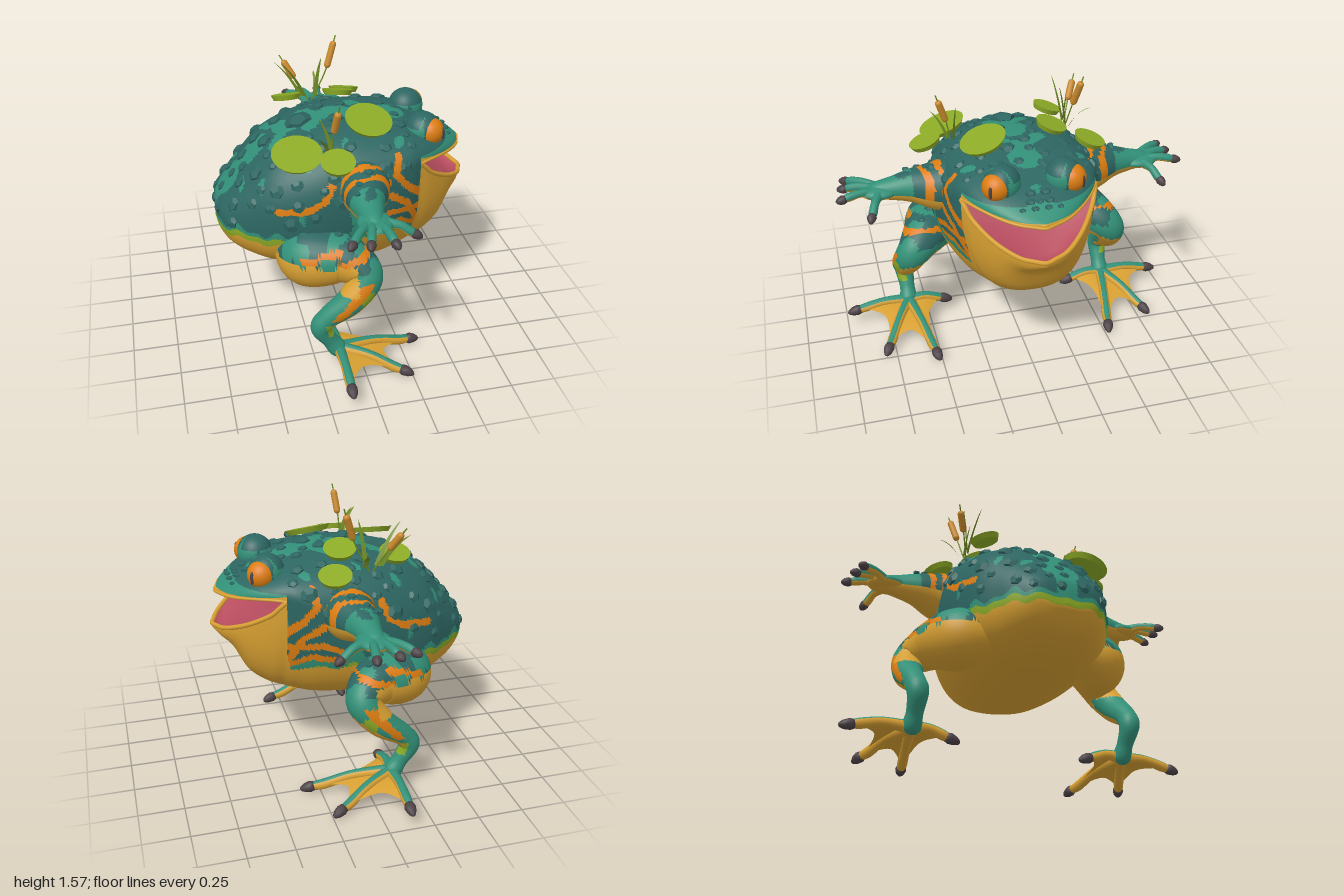
import * as THREE from 'three';
import { mergeGeometries, mergeVertices } from 'three/addons/utils/BufferGeometryUtils.js';

const V = (x, y, z) => new THREE.Vector3(x, y, z);

export function createModel() {
  const model = new THREE.Group();
  model.name = 'toad';
  const colours = { darkTeal: 0x2d6662, teal: 0x329078, orange: 0xdd7d12, gold: 0xd8a032, lime: 0x8caa26,
    olive: 0x6f8c24, pink: 0xb64c5e, claw: 0x4c4246, cattail: 0xc98a2c };
  const mats = {};
  for (const [name, color] of Object.entries(colours)) {
    mats[name] = new THREE.MeshStandardMaterial({ color, side: THREE.DoubleSide });
    mats[name].name = name;
  }
  const keys = Object.keys(mats);
  let seed = 7;
  const rnd = () => (seed = (seed * 16807) % 2147483647) / 2147483647;

  const add = (name, geo, mat, parent = model) => {
    const mesh = new THREE.Mesh(geo, Array.isArray(mat) ? mat : mats[mat]);
    mesh.name = name;
    parent.add(mesh);
    return mesh;
  };

  // Surface grid from a point function of two parameters in 0..1
  const grid = (nu, nv, fn) => {
    const pos = [], idx = [];
    for (let i = 0; i <= nu; i++) for (let j = 0; j <= nv; j++) pos.push(...fn(i / nu, j / nv).toArray());
    for (let i = 0; i < nu; i++) for (let j = 0; j < nv; j++) {
      const a = i * (nv + 1) + j, b = a + nv + 1;
      idx.push(a, b, a + 1, b, b + 1, a + 1);
    }
    const g = new THREE.BufferGeometry();
    g.setAttribute('position', new THREE.Float32BufferAttribute(pos, 3));
    g.setIndex(idx);
    g.computeVertexNormals();
    return g;
  };

  // Sort faces into colour groups by a rule on face centre and normal
  const painted = (name, geometry, rule, parent) => {
    const g = mergeVertices(geometry.deleteAttribute('normal').deleteAttribute('uv'), 1e-5);
    g.computeVertexNormals();
    const p = g.attributes.position, buckets = keys.map(() => []), tri = new THREE.Triangle();
    const c = V(), n = V();
    for (let i = 0; i < g.index.count; i += 3) {
      const f = [0, 1, 2].map(k => g.index.getX(i + k));
      tri.setFromAttributeAndIndices(p, ...f);
      tri.getMidpoint(c);
      tri.getNormal(n);
      c.z = Math.abs(c.z);
      buckets[keys.indexOf(rule(c, n))].push(...f);
    }
    g.setIndex(buckets.flat());
    let start = 0;
    buckets.forEach((b, k) => { if (b.length) g.addGroup(start, b.length, k); start += b.length; });
    return add(name, g, keys.map(k => mats[k]), parent);
  };
  const wobble = p => Math.sin(23 * p.x + 9 * p.y) * Math.sin(19 * p.z + 5) + 0.5 * Math.sin(41 * p.x + 31 * p.z);

  // Body sections: x, top, bottom, half width, upper lip height, lower lip height
  const rows = [
    [-.71, .77, .7, 0, .74, .74], [-.695, .84, .66, .16, .75, .75], [-.64, .915, .58, .24, .75, .75],
    [-.54, 1.03, .515, .32, .76, .76], [-.4, 1.16, .465, .405, .79, .79], [-.2, 1.24, .43, .455, .85, .85],
    [0, 1.27, .41, .46, .92, .92], [.2, 1.26, .42, .435, 1, 1], [.32, 1.24, .45, .4, 1.07, 1.07],
    [.38, 1.225, .47, .37, 1.09, 1.09], [.45, 1.2, .5, .335, 1.095, 1.015], [.55, 1.165, .58, .265, 1.085, .945],
    [.63, 1.125, .73, .19, 1.07, .9], [.69, 1.09, .79, .11, 1.06, .87], [.73, 1.065, .83, 0, 1.05, .855]];
  const last = rows.length - 1, mouthRow = 9;
  const spline = new THREE.CubicInterpolant(rows.map((_, i) => i), new Float32Array(rows.flat()), 6);
  const section = u => {
    const [x, top, bot, w, up, low] = spline.evaluate(u);
    return { x, xu: x - Math.max(0, x - .5) * .1, top, bot, w: Math.max(0, w), up, low: u <= mouthRow ? up : low };
  };
  const power = (a, e) => Math.sign(a) * Math.abs(a) ** e;
  const upper = (u, a) => {
    const s = section(u);
    return V(s.xu, s.up + (s.top - s.up) * Math.abs(Math.sin(a)) ** .8, s.w * power(Math.cos(a), .78));
  };
  const lower = (u, a) => {
    const s = section(u);
    return V(s.x, s.low - (s.low - s.bot) * Math.abs(Math.sin(a)) ** .85, s.w * power(Math.cos(a), .78));
  };
  const stripes = [
    [[.25, 1.15], [.23, 1.07], [.3, .98], [.4, .9]], [[.02, 1.13], [.1, 1.11], [.18, 1.03]],
    [[-.4, .9], [-.24, .92], [-.16, .97], [-.12, 1.06]], [[.08, .79], [.2, .84], [.38, .82]],
    [[.12, .745], [.26, .77], [.37, .7]], [[.2, .95], [.3, .88], [.37, .74]]];
  const near = V(), line = new THREE.Line3();
  const onStripe = p => stripes.some(s => s.slice(1).some((b, i) => {
    line.set(V(...s[i], 0), V(...b, 0));
    const q = V(p.x, p.y, 0);
    line.closestPointToPoint(q, true, near);
    return near.distanceTo(q) < .02 + .004 * wobble(p);
  }));
  const bodyRule = p => {
    const n = wobble(p);
    if (p.x > .38 && p.y < 1.113 - .15 * (p.x - .42)) return 'gold';
    if (p.y < 1.07 && p.x > .375 + .012 * n) return 'gold';
    const edge = .69 + .015 * n;
    if (p.z > .22 && p.y > .68 && onStripe(p)) return 'orange';
    if (p.y < edge) return 'gold';
    if (p.y < edge + (p.x < -.35 ? .04 : .025 * n)) return 'lime';
    if (p.y < .76 + .03 * n) return 'teal';
    if (p.x > .38) return n > .5 || p.y < 1.13 ? 'teal' : 'darkTeal';
    return p.z < .09 + .07 * n || n > 1 ? 'teal' : 'darkTeal';
  };
  // samples crowd toward the sides, where the section bends fastest
  const angle = v => Math.PI * (v - Math.sin(2 * Math.PI * v) / (4 * Math.PI));
  painted('body', mergeGeometries([
    grid(140, 96, (u, v) => upper(u * last, angle(v))),
    grid(140, 96, (u, v) => lower(u * last, Math.PI + angle(v)))]), bodyRule);

  // Mouth lining and lips
  const lining = (name, sign, depth) => add(name, grid(30, 20, (u, v) => {
    const s = section(mouthRow + u * (last - mouthRow)), k = 1 - 2 * v;
    const dip = depth * Math.min(1, (s.x - .38) * 8) * (1 - k * k) * Math.min(1, s.w * 6);
    return V(sign < 0 ? s.x : s.xu, (sign < 0 ? s.low : s.up) + sign * dip, -sign * s.w * k);
  }), 'pink');
  lining('mouthFloor', -1, .045);
  lining('mouthRoof', 1, .012);
  [[lower, .013, 'lowerLip'], [upper, .008, 'upperLip']].forEach(([fn, r, name]) => {
    const pts = [];
    for (let i = -10; i <= 10; i++) pts.push(fn(last - Math.abs(i) / 10 * (last - mouthRow), i < 0 ? 0 : Math.PI));
    add(name, new THREE.TubeGeometry(new THREE.CatmullRomCurve3(pts), 60, r, 8), 'gold');
  });

  // Warts scattered over the back, plus a few on snout, arms and thighs
  const wartGeo = new THREE.DodecahedronGeometry(1);
  const wart = (p, n, r) => {
    const m = add('wart', wartGeo, 'darkTeal');
    m.position.copy(p);
    m.quaternion.setFromUnitVectors(V(0, 1, 0), n);
    m.scale.set(r, r * .48, r);
  };
  const placed = [];
  for (let i = 0; i < 1500 && placed.length < 85; i++) {
    const u = i ? .4 + rnd() * 8 : 4.9, a = i ? .03 + rnd() * 3.08 : Math.PI / 2;
    const p = upper(u, a), r = i ? .026 + rnd() * .024 : .08;
    if (placed.some(q => q.p.distanceTo(p) < (q.r + r) * 1.3) || p.y < .78) continue;
    const n = upper(u + .01, a).sub(p).cross(upper(u, a + .01).sub(p)).normalize();
    placed.push({ p, r });
    wart(p, n, r);
  }
  for (const [x, y, z, r] of [[.54, 1.17, .04, .03], [.585, 1.145, .05, .028], [.59, 1.145, .0, .022], [.625, 1.125, .035, .022],
    [.62, 1.12, .1, .018], [.06, 1.13, .47, .03], [0, 1.105, .54, .025], [-.03, 1.085, .6, .02], [-.1, .77, .47, .03],
    [-.02, .75, .53, .025], [-.2, .77, .42, .03]])
    for (const s of [1, -1]) wart(V(x, y, z * s), V(0, 1, 0), r);

  // Tapered limb through points with radii
  const limb = (name, pts, rule, parent, nu = 50, nv = 28) => {
    const curve = new THREE.CatmullRomCurve3(pts.map(p => V(p[0], p[1], p[2])));
    const radius = new THREE.CubicInterpolant(pts.map((_, i) => i), new Float32Array(pts.map(p => p[3])), 1);
    const f = curve.computeFrenetFrames(nu);
    return painted(name, grid(nu, nv, (u, v) => {
      const i = Math.round(u * nu), a = -v * Math.PI * 2;
      const r = radius.evaluate(curve.getUtoTmapping(u) * (pts.length - 1))[0];
      return curve.getPointAt(u).addScaledVector(f.normals[i], r * Math.cos(a)).addScaledVector(f.binormals[i], r * Math.sin(a));
    }), rule, parent);
  };
  // Finger or toe with a blunt claw on its end
  const clawProfile = [[0, -.5], [.8, -.4], [1, -.15], [.8, .2], [.4, .45], [0, .52]].map(p => new THREE.Vector2(...p));
  const clawGeo = new THREE.LatheGeometry(clawProfile, 10);
  const digit = (name, from, b, r, lift, clawLen, rule, parent) => {
    const m = from.clone().lerp(b, .5);
    m.y += lift;
    const knuckle = from.clone().lerp(b, .88).setY(b.y + lift * .4);
    limb(name, [[...from, r * 1.3], [...m, r], [...knuckle, r * 1.05], [...b, r * .85]], rule, parent, 14, 10);
    const dir = b.clone().sub(m).normalize();
    const claw = add('claw', clawGeo, 'claw', parent);
    claw.position.copy(b).addScaledVector(dir, clawLen * .3);
    claw.scale.set(r * 1.15, clawLen, r * 1.15);
    claw.quaternion.setFromUnitVectors(V(0, 1, 0), dir);
  };

  const handRule = (p, n) => n.y < -.25 ? 'gold' : 'teal';
  const armRule = (p, n) => {
    if (n.y < -.25) return 'gold';
    const w = p.z + .015 * wobble(p) + .1 * p.x;
    if ((w > .42 && w < .455) || (w > .5 && w < .535)) return 'orange';
    return p.z < .58 || wobble(p) > .8 ? 'darkTeal' : 'teal';
  };
  const legRule = (p, n) => {
    const w = wobble(p);
    if (p.y > .5 && p.x < -.03 && p.y < .65 + .01 * w) return 'gold';
    if (n.y < -.45 && p.y > .3) return 'gold';
    const shin = Math.abs(p.y - .46 - 1.15 * (p.x + .07));
    if (p.y > .36 && p.y < .57 && p.z > .62 && shin < .035) return 'orange';
    if (p.y > .43 && p.y < .52 && p.z > .62 && p.x > -.02 && p.x < .05) return 'lime';
    const arc = p.y - .25 * p.x + .006 * w;
    if (p.x > -.32 && p.x < -.1 && Math.abs(arc - .755) < .016) return 'orange';
    if (p.x > -.14 && p.x < .05 && Math.abs(arc - .695) < .016) return 'orange';
    if (w > .8 && p.y < .33 && p.y > .24) return 'lime';
    return p.y > .62 && w > -.1 ? 'darkTeal' : 'teal';
  };

  for (const s of [1, -1]) {
    const side = s > 0 ? 'left' : 'right';
    const flip = list => list.map(([x, y, z, r]) => [x, y, z * s, r]);

    // Eye in its mound
    const eye = new THREE.Group();
    eye.name = side + 'Eye';
    eye.position.set(.445, 1.195, .165 * s);
    eye.rotation.y = -.82 * s;
    model.add(eye);
    painted('eyeMound', new THREE.SphereGeometry(.1, 40, 24, 0, Math.PI * 2, 0, Math.PI * .68),
      p => p.y > .03 && p.x < .03 || wobble(p) < -.3 ? 'darkTeal' : 'teal', eye);
    const ball = add('eyeball', new THREE.SphereGeometry(.077, 24, 18), 'orange', eye);
    ball.position.x = .05;
    const pupil = add('pupil', new THREE.SphereGeometry(1, 14, 12), 'claw', eye);
    pupil.position.set(.123, 0, -.012 * s);
    pupil.scale.set(.008, .036, .011);

    // Arm and hand
    const arm = new THREE.Group();
    arm.name = side + 'Arm';
    model.add(arm);
    limb('arm', flip([[.05, 1, .3, .17], [.05, 1.005, .44, .14], [.03, 1.01, .57, .098], [.025, 1.005, .68, .068],
      [.02, 1, .77, .05], [.02, 1, .81, .03], [.02, 1, .83, .001]]), armRule, arm);
    painted('palm', new THREE.SphereGeometry(1, 24, 16).scale(.09, .038, .11).translate(.025, 1, .755 * s), handRule, arm);
    for (const [x, y, z] of [[-.125, 1, .92], [-.04, 1, .935], [.075, 1, .95], [.21, .955, .82]])
      digit('finger', V(.02 + x * .3, 1, .77 * s), V(x, y, z * s), .023, .015, .062, handRule, arm);

    // Leg
    const leg = new THREE.Group();
    leg.name = side + 'Leg';
    model.add(leg);
    limb('leg', flip([[-.34, .61, .26, .1], [-.25, .615, .4, .17], [-.05, .625, .515, .13], [.025, .565, .595, .095],
      [-.06, .45, .63, .08], [-.19, .35, .63, .06], [-.23, .29, .625, .058], [-.18, .19, .62, .045],
      [-.13, .12, .62, .05], [-.1, .1, .62, .001]]), legRule, leg, 90);
    // Webbed foot
    const foot = V(-.13, .125, .62 * s);
    const tips = [[-.13, .1, .42], [.295, .04, .53], [.19, .045, .785], [-.13, .1, .925]].map(t => V(t[0], t[1], t[2] * s));
    tips.forEach(t => digit('toe', foot, t, .027, .02, .09, (p, n) => n.y > .6 ? 'teal' : 'gold', leg));
    for (let i = 0; i < 3; i++) add('footWeb', grid(10, 10, (u, v) => {
      const k = u * (.92 - .24 * Math.sin(Math.PI * v));
      const p = foot.clone().lerp(tips[i].clone().lerp(tips[i + 1], v), k);
      p.y += .02 * Math.sin(Math.PI * k) - .004;
      return p;
    }), 'gold', leg);
  }

  // Lily pads: x, y, z, radius
  for (const [x, y, z, r] of [[-.29, 1.2, .34, .135], [-.1, 1.2, .47, .092], [.13, 1.285, .19, .13],
    [-.24, 1.265, -.27, .085], [.05, 1.295, -.21, .09], [.13, 1.22, -.41, .09]]) {
    const pad = add('lilyPad', new THREE.CylinderGeometry(r, r * .85, .03, 28), 'lime');
    pad.position.set(x, y, z);
    pad.rotation.set(Math.sign(z) * .33, 0, x > 0 ? -.1 : .03);
  }

  // Cattails: root, bottom and top of the brown head
  for (const [root, low, high] of [[[-.08, 1.2, -.33], [.015, 1.39, -.345], [.065, 1.54, -.375]],
    [[-.1, 1.2, .33], [-.095, 1.315, .35], [-.08, 1.45, .395]], [[-.1, 1.2, -.33], [-.17, 1.33, -.375], [-.23, 1.43, -.42]]]) {
    const a = V(...low), b = V(...high), dir = b.clone().sub(a).normalize();
    const head = add('cattailHead', new THREE.CapsuleGeometry(.02, a.distanceTo(b) - .04, 4, 10), 'cattail');
    head.position.copy(a).lerp(b, .5);
    head.quaternion.setFromUnitVectors(V(0, 1, 0), dir);
    const path = new THREE.CatmullRomCurve3([V(...root), a, b.clone().addScaledVector(dir, .035)]);
    add('cattailStem', new THREE.TubeGeometry(path, 12, .004, 6), 'olive');
  }

  // Grass blades: root, tip
  for (const [root, tip] of [[[-.12, 1.23, -.33], [-.26, 1.46, -.3]], [[-.14, 1.23, -.34], [-.28, 1.42, -.42]],
    [[-.06, 1.23, -.33], [-.03, 1.48, -.28]], [[-.05, 1.23, -.35], [-.04, 1.33, -.47]],
    [[-.1, 1.2, .31], [-.16, 1.37, .28]], [[-.12, 1.2, .34], [-.22, 1.33, .42]]]) {
    const a = V(...root), b = V(...tip), bend = a.clone().lerp(b, .4);
    bend.y += .05;
    const curve = new THREE.QuadraticBezierCurve3(a, bend, b);
    add('grassBlade', grid(10, 2, (u, v) => {
      const w = (v - .5) * .024 * (1 - u) ** .6;
      return curve.getPoint(u).add(V(w, 0, w * .8));
    }), 'olive');
  }
  return model;
}
